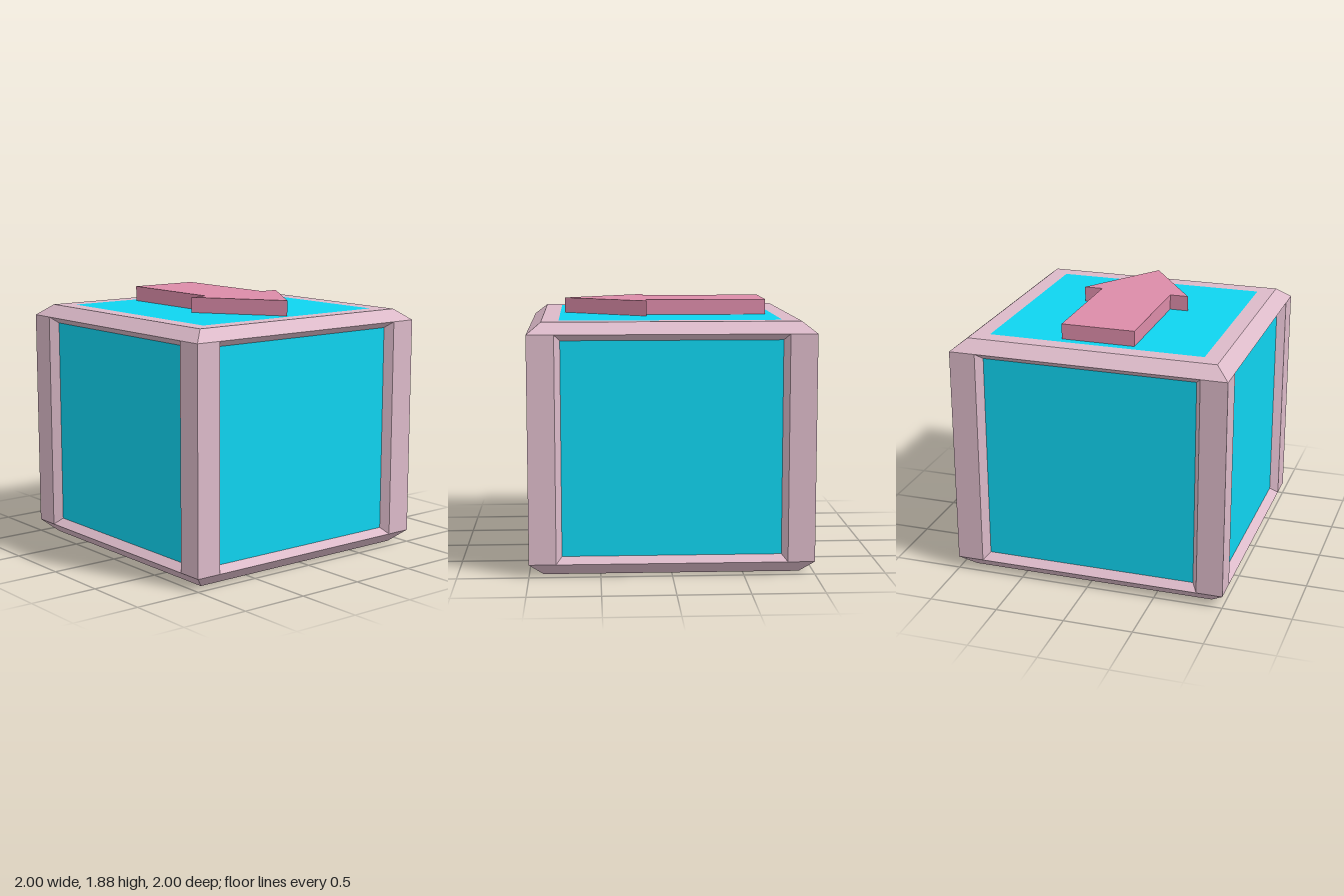
import * as THREE from 'three';
import { mergeGeometries } from 'three/addons/utils/BufferGeometryUtils.js';

const LOW = 0.09, HIGH = 1.69, TOP = 1.77; // chamfer heights
const IN = 0.9; // half width of the chamfered ends

const material = (color) => new THREE.MeshStandardMaterial({ color, flatShading: true });

// Four-cornered faces, corners counter-clockwise from outside
function quads(list) {
  const pos = list.flatMap(([a, b, c, d]) => [a, b, c, a, c, d].flat());
  const g = new THREE.BufferGeometry();
  g.setAttribute('position', new THREE.Float32BufferAttribute(pos, 3));
  g.computeVertexNormals();
  return g;
}

// Upright rectangle facing +z, and level squares facing up or down
const upright = (x, y0, y1, z) => [[-x, y0, z], [x, y0, z], [x, y1, z], [-x, y1, z]];
const levelUp = (h, y) => [[-h, y, h], [h, y, h], [h, y, -h], [-h, y, -h]];
const levelDown = (h, y) => levelUp(h, y).reverse();

// Band of faces joining an outer loop to an inner one
const band = (outer, inner) => outer.map((p, i) => {
  const j = (i + 1) % outer.length;
  return [p, outer[j], inner[j], inner[i]];
});

export function createModel() {
  const model = new THREE.Group();
  const pink = material(0xdcbac9), cyan = material(0x0fd4f0), rose = material(0xdc8ca9);
  const add = (name, geometry, mat) => {
    const mesh = new THREE.Mesh(geometry, mat);
    mesh.name = name;
    model.add(mesh);
    return mesh;
  };

  // One side of the frame: posts, chamfers and the sloped reveal
  const side = quads([
    [[-1, LOW, 1], [-0.81, LOW, 1], [-0.81, HIGH, 1], [-1, HIGH, 1]],
    [[0.81, LOW, 1], [1, LOW, 1], [1, HIGH, 1], [0.81, HIGH, 1]],
    [[-1, HIGH, 1], [1, HIGH, 1], [IN, TOP, IN], [-IN, TOP, IN]],
    [[-IN, 0, IN], [IN, 0, IN], [1, LOW, 1], [-1, LOW, 1]],
    ...band(upright(0.81, LOW, HIGH, 1), upright(0.77, 0.135, 1.645, 0.94)),
  ]);
  const sidePanel = quads([upright(0.77, 0.135, 1.645, 0.94)]);

  // Frame: four sides, flat top border and sloped bottom border
  const parts = [quads([
    ...band(levelUp(IN, TOP), levelUp(0.78, TOP)),
    ...band(levelDown(IN, 0), levelDown(0.78, 0.065)),
  ])];
  ['front', 'left', 'back', 'right'].forEach((name, i) => {
    parts.push(side.clone().rotateY(i * Math.PI / 2));
    add(name + 'Panel', sidePanel, cyan).rotation.y = i * Math.PI / 2;
  });
  add('frame', mergeGeometries(parts), pink);

  // Flush top panel and recessed bottom panel
  add('topPanel', quads([levelUp(0.78, TOP)]), cyan);
  add('bottomPanel', quads([levelDown(0.78, 0.065)]), cyan);

  // Raised arrow pointing to +x
  const outline = [[-0.72, -0.265], [0.155, -0.265], [0.155, -0.4], [0.745, 0],
    [0.155, 0.4], [0.155, 0.265], [-0.72, 0.265]];
  const shape = new THREE.Shape(outline.map(([x, y]) => new THREE.Vector2(x, y)));
  const arrow = new THREE.ExtrudeGeometry(shape, { depth: 0.11, bevelEnabled: false });
  arrow.rotateX(-Math.PI / 2).translate(0, TOP, 0);
  add('arrow', arrow, rose);

  return model;
}
